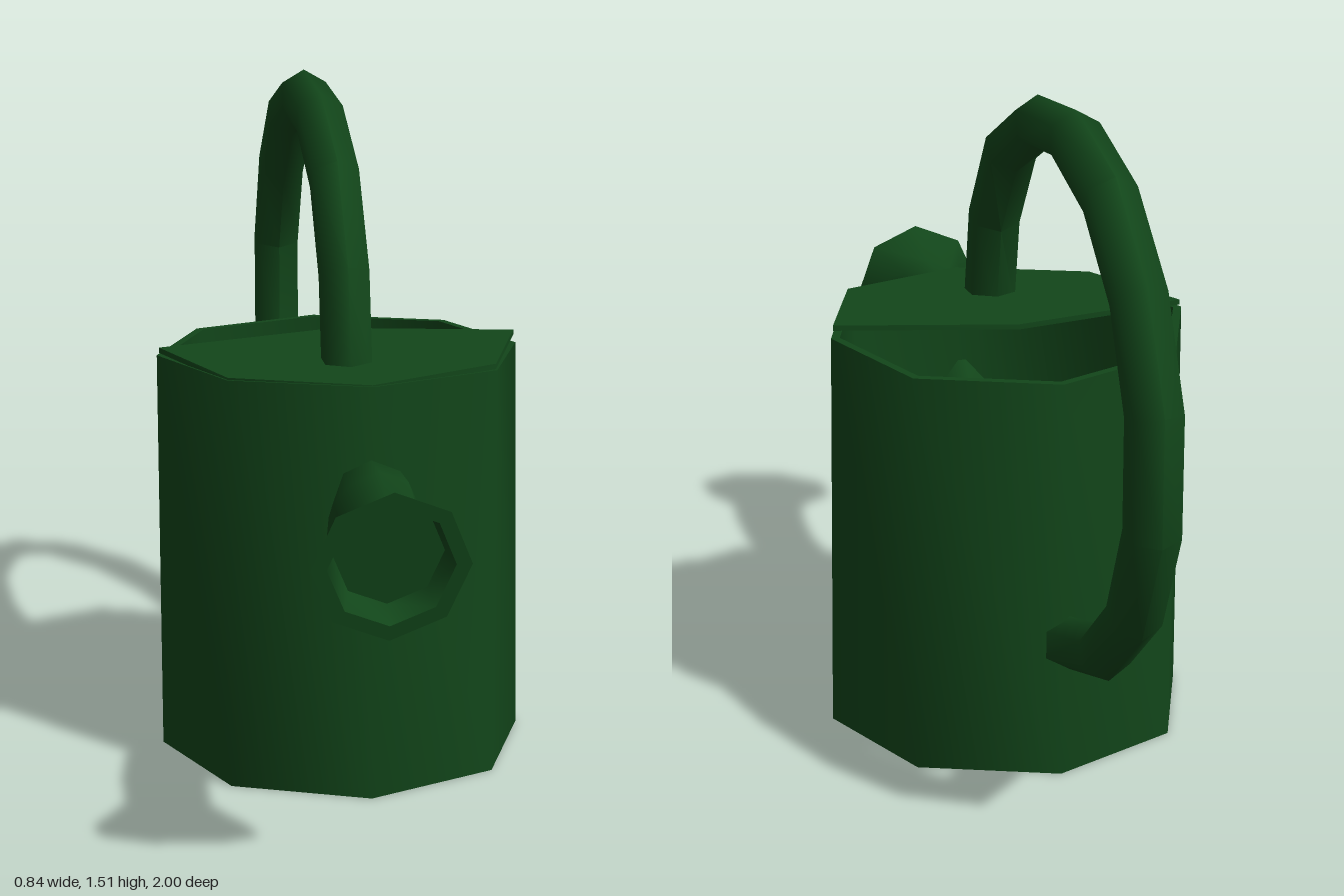
import * as THREE from 'three';
import { toCreasedNormals } from 'three/addons/utils/BufferGeometryUtils.js';

const green = new THREE.MeshStandardMaterial({ color: 0x12461a, side: THREE.DoubleSide });

function part(name, geometry) {
  const mesh = new THREE.Mesh(toCreasedNormals(geometry, 1.1), green);
  mesh.name = name;
  return mesh;
}

// Rings of n corners; each ring is { x, y, z, r, pitch }, pitch turning +z towards +y
function loft(rings, n) {
  const pos = [], index = [];
  for (const { x, y, z, r, pitch } of rings) {
    for (let j = 0; j < n; j++) {
      const a = Math.PI / 2 + (j / n) * Math.PI * 2;
      const u = Math.sin(a) * r;
      pos.push(x + Math.cos(a) * r, y + Math.cos(pitch) * u, z - Math.sin(pitch) * u);
    }
  }
  for (let i = 0; i < rings.length - 1; i++) {
    for (let j = 0; j < n; j++) {
      const k = (j + 1) % n;
      const a = i * n + j, b = i * n + k, c = a + n, d = b + n;
      index.push(a, b, c, b, d, c);
    }
  }
  const g = new THREE.BufferGeometry();
  g.setAttribute('position', new THREE.Float32BufferAttribute(pos, 3));
  g.setIndex(index);
  return g;
}

function bend(geometry, rule) {
  const p = geometry.attributes.position, v = new THREE.Vector3();
  for (let i = 0; i < p.count; i++) {
    rule(v.fromBufferAttribute(p, i));
    p.setXYZ(i, v.x, v.y, v.z);
  }
  return geometry;
}

// Open eight-sided can with a thin wall and a slightly uneven rim
function makeBody() {
  const profile = [[0, 0], [0.42, 0], [0.42, 0.925], [0.4, 0.925], [0.4, 0.02], [0, 0.02]]
    .map(([x, y]) => new THREE.Vector2(x, y));
  const g = new THREE.LatheGeometry(profile, 8);
  g.translate(0, 0, -0.02);
  return part('body', bend(g, (v) => {
    if (v.y < 0.9) return;
    v.y += 0.025 * v.z;
    if (v.x > 0.3) v.x -= 0.015;
  }));
}

// Sheet covering the front half of the opening, rising towards the back
function makeLid() {
  const outline = [[-0.415, -0.02], [-0.295, 0.272], [0, 0.395], [0.295, 0.272], [0.4, -0.02], [0, -0.12]];
  const shape = new THREE.Shape(outline.map(([x, z]) => new THREE.Vector2(x, -z)));
  const g = new THREE.ExtrudeGeometry(shape, { depth: 0.012, bevelEnabled: false });
  g.rotateX(-Math.PI / 2);
  return part('lid', bend(g, (v) => {
    v.y += 0.926 + 0.015 * v.x + 0.025 * (0.39 - v.z);
  }));
}

// Six-sided hoop from the lid over to the back of the can
function makeHandle() {
  const path = [
    [0.18, 0.92], [0.14, 1.13], [0.01, 1.32], [-0.2, 1.425], [-0.44, 1.447], [-0.665, 1.375],
    [-0.84, 1.22], [-0.94, 1.01], [-0.94, 0.765], [-0.845, 0.55], [-0.665, 0.39], [-0.41, 0.305],
  ];
  const rings = path.map(([z, y], i) => {
    const p = path[Math.max(i - 1, 0)], q = path[Math.min(i + 1, path.length - 1)];
    return { x: -0.02, y, z, r: 0.06, pitch: Math.atan2(q[1] - p[1], q[0] - p[0]) };
  });
  const first = rings[0], last = rings[rings.length - 1];
  return part('handle', loft([{ ...first, r: 0 }, ...rings, { ...last, r: 0 }], 6));
}

// Curved spout flaring to a hollow sprinkler head
function makeSpout() {
  const rows = [ // z, y, radius, pitch in degrees
    [0.29, 0.43, 0, 68], [0.29, 0.43, 0.08, 68], [0.355, 0.565, 0.085, 58], [0.445, 0.665, 0.085, 42],
    [0.57, 0.733, 0.085, 18], [0.71, 0.75, 0.085, 0], [0.845, 0.738, 0.085, -7],
    [0.975, 0.716, 0.16, -9], [0.975, 0.716, 0.128, -9], [0.91, 0.726, 0.112, -9], [0.91, 0.726, 0, -9],
  ];
  return part('spout', loft(rows.map(([z, y, r, deg]) => ({
    x: -0.005 - 0.085 * (z - 0.29), y, z, r, pitch: THREE.MathUtils.degToRad(deg),
  })), 8));
}

export function createModel() {
  const model = new THREE.Group();
  model.name = 'wateringCan';
  model.add(makeBody(), makeLid(), makeHandle(), makeSpout());
  return model;
}
